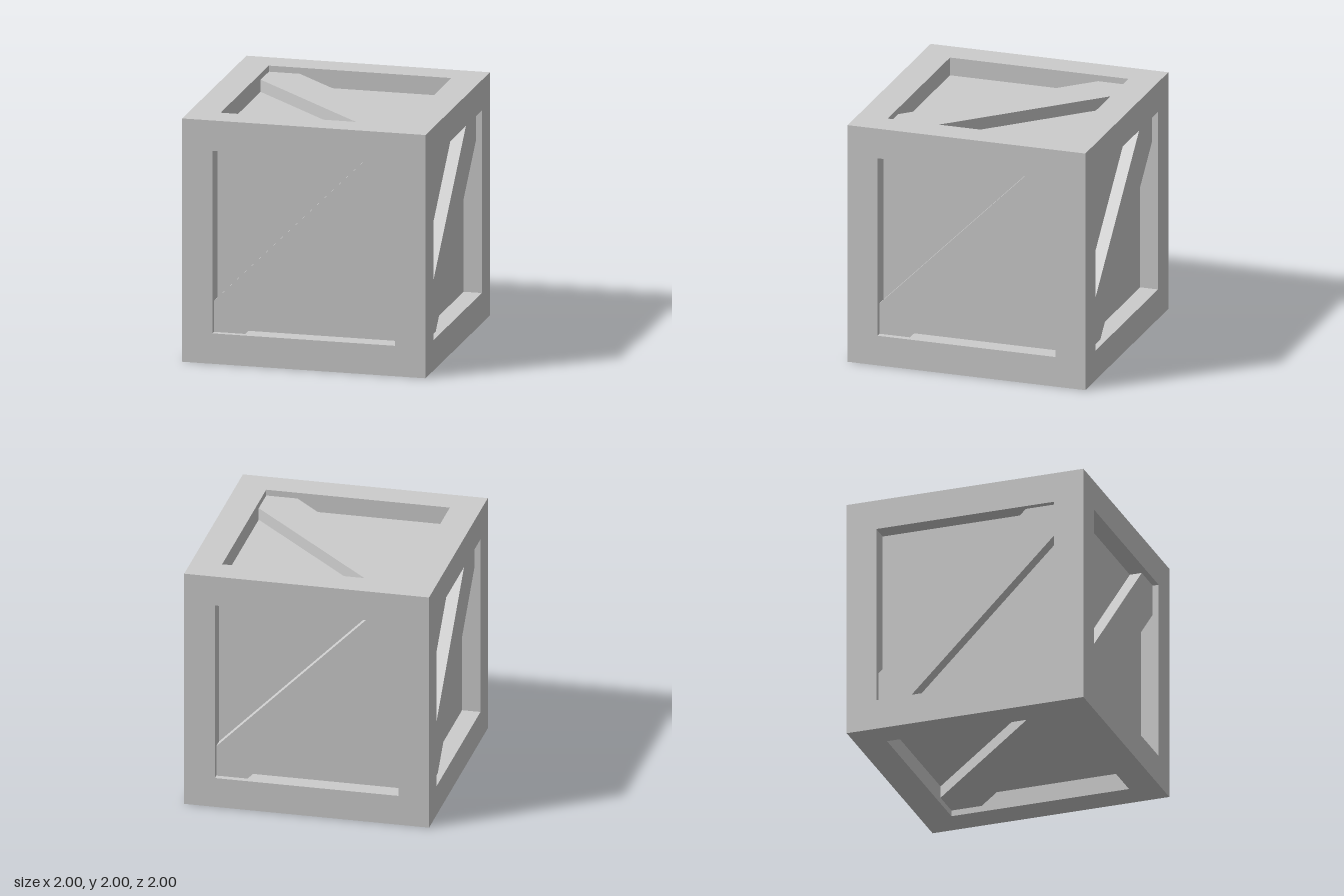
import * as THREE from 'three';

const HALF = 1;        // half size of the crate
const BEAM = 0.25;     // beam thickness
const OPEN = HALF - BEAM;  // half size of each opening
const PANEL = 0.85;    // distance of the panels from the centre
const BRACE = 0.95;    // distance of the brace faces from the centre

export function createModel() {
  const model = new THREE.Group();
  model.name = 'crate';
  const material = new THREE.MeshStandardMaterial({ color: 0xcccccc, flatShading: true });

  const body = new THREE.Group();
  body.name = 'body';
  body.position.y = HALF;
  model.add(body);

  const add = (name, geometry, x = 0, y = 0, z = 0) => {
    const mesh = new THREE.Mesh(geometry, material);
    mesh.name = name;
    mesh.position.set(x, y, z);
    body.add(mesh);
    return mesh;
  };

  // Recessed panels: one inner box
  add('panels', new THREE.BoxGeometry(2 * PANEL, 2 * PANEL, 2 * PANEL));

  // Frame: four full-height posts with rails fitted between them
  const post = new THREE.BoxGeometry(BEAM, 2 * HALF, BEAM);
  const railX = new THREE.BoxGeometry(2 * OPEN, BEAM, BEAM);
  const railZ = new THREE.BoxGeometry(BEAM, BEAM, 2 * OPEN);
  const c = HALF - BEAM / 2;
  for (const a of [-c, c]) {
    for (const b of [-c, c]) {
      add('cornerPost', post, a, 0, b);
      add('crossRail', railX, 0, a, b);
      add('sideRail', railZ, a, b, 0);
    }
  }

  // Diagonal brace, its ends cut to fit the corners of the opening
  const k = OPEN - 0.255;
  const outline = new THREE.Shape([
    [-OPEN, -OPEN], [-k, -OPEN], [OPEN, k], [OPEN, OPEN], [k, OPEN], [-OPEN, -k],
  ].map(([x, y]) => new THREE.Vector2(x, y)));
  const brace = new THREE.ExtrudeGeometry(outline, { depth: BRACE - PANEL, bevelEnabled: false });
  brace.translate(0, 0, PANEL);

  // One brace per face: rotation about x, y and z
  const q = Math.PI / 2;
  const faces = {
    frontBrace: [0, 0, 0],
    leftBrace: [0, q, 0],
    backBrace: [0, 2 * q, 0],
    rightBrace: [0, -q, 0],
    topBrace: [-q, 0, q],
    bottomBrace: [q, 0, q],
  };
  for (const [name, r] of Object.entries(faces)) add(name, brace).rotation.set(...r);

  return model;
}
